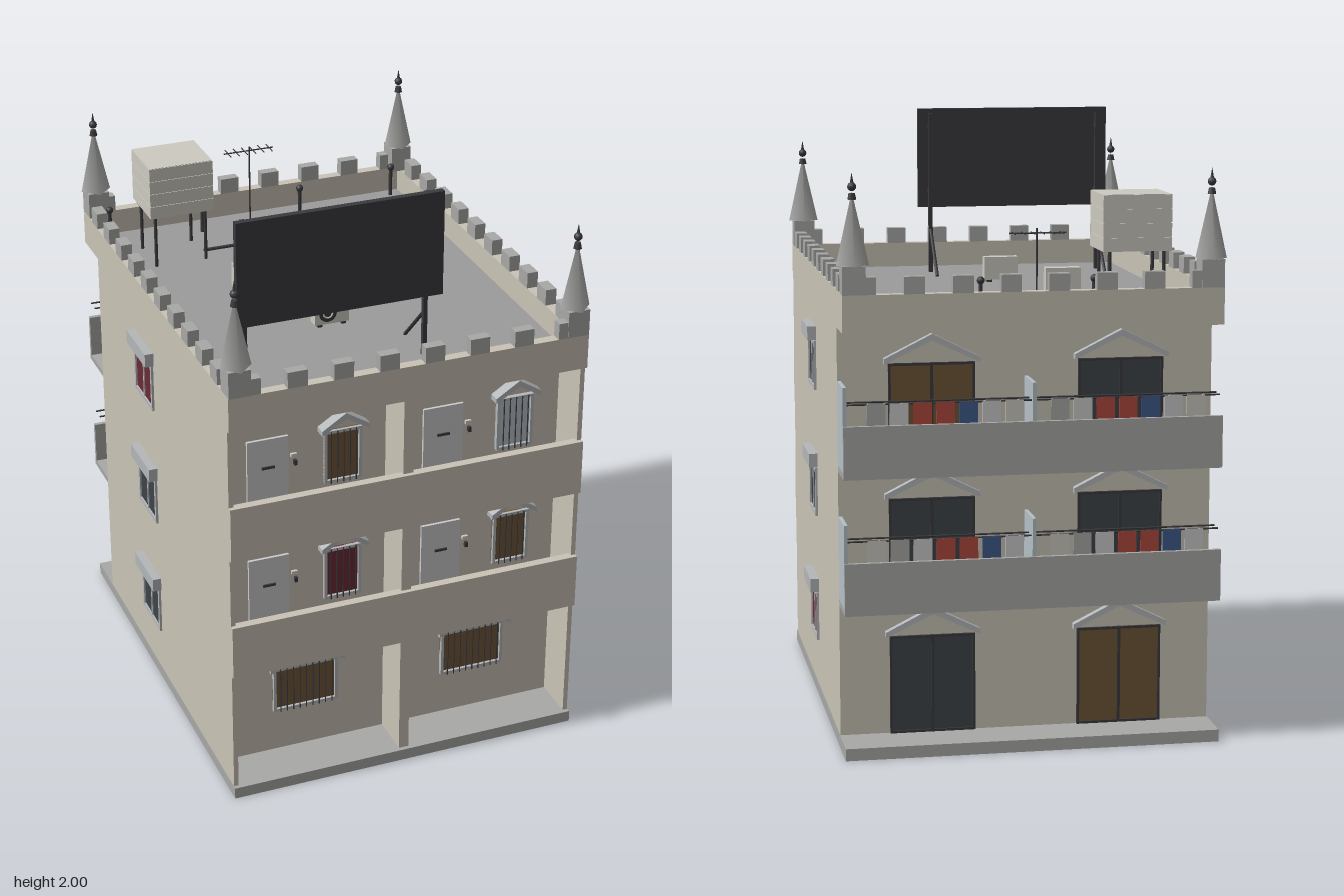
import * as THREE from 'three';

const mat = (color) => new THREE.MeshStandardMaterial({ color, side: THREE.DoubleSide });
const M = {
  wall: mat(0xcac4b6), stone: mat(0xa8a8a6), deck: mat(0x9c9c9c), trim: mat(0xb4b7b9),
  dark: mat(0x3a393d), glass: mat(0xb4c0c6), pane: mat(0x3d4348), red: mat(0x6b2a35),
  brown: mat(0x6e5638), pale: mat(0xcccccc), cream: mat(0xcdcac0), blue: mat(0x3f5a8c), cloth: mat(0xb0483f),
};

export function createModel() {
  const root = new THREE.Group();
  const add = (name, geo, m, parent = root) => {
    const mesh = new THREE.Mesh(geo, m);
    mesh.name = name;
    parent.add(mesh);
    return mesh;
  };
  // box given by its extents on each axis
  const box = (name, x0, x1, y0, y1, z0, z1, m, parent = root) => {
    const b = add(name, new THREE.BoxGeometry(x1 - x0, y1 - y0, z1 - z0), m, parent);
    b.position.set((x0 + x1) / 2, (y0 + y1) / 2, (z0 + z1) / 2);
    return b;
  };
  // round bar between two points
  const bar = (name, a, b, r, m, parent = root) => {
    const p = new THREE.Vector3(...a), q = new THREE.Vector3(...b);
    const c = add(name, new THREE.CylinderGeometry(r, r, p.distanceTo(q), 8), m, parent);
    c.position.copy(p).lerp(q, 0.5);
    c.quaternion.setFromUnitVectors(new THREE.Vector3(0, 1, 0), q.sub(p).normalize());
    return c;
  };
  const group = (name, x, y, z, turn = 0) => {
    const g = new THREE.Group();
    g.name = name;
    g.position.set(x, y, z);
    g.rotation.y = turn;
    root.add(g);
    return g;
  };

  // rectangular frame, facing +z of its group, origin at bottom centre
  const frame = (g, w, h, t, d, m) => {
    box('frameBottom', -w / 2, w / 2, 0, t, 0, d, m, g);
    box('frameTop', -w / 2, w / 2, h - t, h, 0, d, m, g);
    for (const s of [-1, 1]) box('frameSide', s * (w - t) / 2 - t / 2, s * (w - t) / 2 + t / 2, t, h - t, 0, d, m, g);
  };
  const gable = (g, w, y, h, d) => {
    const t = 0.022, k = w / 2;
    const s = new THREE.Shape([[-k, 0], [0, h - t], [k, 0], [k, t * 0.8], [0, h], [-k, t * 0.8]].map((p) => new THREE.Vector2(...p)));
    add('gableHood', new THREE.ExtrudeGeometry(s, { depth: d, bevelEnabled: false }), M.trim, g).position.y = y;
  };

  // base and main body
  box('base', -0.615, 0.615, 0, 0.04, -0.765, 0.765, M.stone);
  box('body', -0.6, 0.6, 0.04, 1.38, -0.61, 0.6, M.wall);
  for (const s of [-1, 1]) box('sideWall', s * 0.605 - 0.008, s * 0.605 + 0.008, 0.04, 1.38, -0.61, 0.75, M.wall);
  box('frontDivider', -0.02, 0.015, 0.04, 1.38, 0.6, 0.75, M.wall);

  // roof with parapet
  box('roofSlab', -0.613, 0.613, 1.38, 1.41, -0.765, 0.765, M.wall);
  box('roofDeck', -0.575, 0.575, 1.41, 1.413, -0.73, 0.73, M.deck);
  for (const s of [-1, 1]) {
    box('sideParapet', s * 0.594 - 0.019, s * 0.594 + 0.019, 1.41, 1.5, -0.765, 0.765, M.wall);
    box('endParapet', -0.575, 0.575, 1.41, 1.5, s * 0.7475 - 0.0175, s * 0.7475 + 0.0175, M.wall);
    for (let i = 0; i < 10; i++) {
      const z = (i - 4.5) * 0.14;
      box('merlon', s * 0.594 - 0.019, s * 0.594 + 0.019, 1.5, 1.555, z - 0.033, z + 0.033, M.stone);
    }
    for (let i = 0; i < 8; i++) {
      const x = (i - 3.5) * 0.154;
      box('merlon', x - 0.033, x + 0.033, 1.5, 1.555, s * 0.7475 - 0.0175, s * 0.7475 + 0.0175, M.stone);
    }
  }

  // corner spires
  for (const sx of [-1, 1]) for (const sz of [-1, 1]) {
    const g = group('spire', sx * 0.575, 1.5, sz * 0.73);
    box('spireBase', -0.037, 0.037, 0, 0.09, -0.037, 0.037, M.stone, g);
    add('spireRoof', new THREE.ConeGeometry(0.052, 0.23, 4), M.stone, g).position.y = 0.205;
    add('spireBall', new THREE.SphereGeometry(0.014, 10, 8), M.dark, g).position.y = 0.335;
    add('spireCollar', new THREE.CylinderGeometry(0.01, 0.014, 0.02, 8), M.dark, g).position.y = 0.305;
    add('spireTip', new THREE.ConeGeometry(0.007, 0.04, 8), M.dark, g).position.y = 0.36;
  }

  // barred front windows
  const barredWindow = (x, y, w, h, hood, m) => {
    const g = group('frontWindow', x, y, 0.6);
    box('pane', -w / 2, w / 2, 0, h, 0, 0.006, m, g);
    frame(g, w, h, 0.01, 0.016, M.trim);
    const n = Math.round(w / 0.023);
    for (let i = 1; i < n; i++) bar('windowBar', [-w / 2 + i * w / n, 0, 0.02], [-w / 2 + i * w / n, h, 0.02], 0.0022, M.dark, g);
    gable(g, w + 0.035, h, hood, 0.04);
  };
  for (const s of [-1, 1]) barredWindow(s * 0.305, 0.2, 0.23, 0.17, 0.095, M.brown);

  // upper floors: front gallery and back balcony
  const clothes = [M.pale, M.cloth, M.cream, M.blue, M.pale, M.cream, M.cloth, M.stone];
  [0.475, 0.915].forEach((y, f) => {
    box('galleryFloor', -0.613, 0.613, y, y + 0.02, 0.6, 0.765, M.wall);
    box('galleryFront', -0.613, 0.613, y, y + 0.193, 0.735, 0.765, M.wall);
    for (const x of [-0.43, 0.18]) {
      const g = group('frontDoor', x, y + 0.02, 0.6);
      box('doorLeaf', -0.07, 0.07, 0, 0.31, 0, 0.01, M.pale, g);
      box('mailSlot', -0.022, 0.022, 0.205, 0.213, 0.01, 0.016, M.dark, g);
      box('doorHandle', 0.09, 0.1, 0.198, 0.216, 0, 0.012, M.dark, g);
      box('doorBell', 0.08, 0.1, 0.228, 0.24, 0, 0.01, M.cream, g);
    }
    barredWindow(-0.173, y + 0.13, 0.13, 0.19, 0.07, f ? M.brown : M.red);
    barredWindow(0.436, y + 0.13, 0.13, 0.19, 0.07, f ? M.glass : M.brown);

    box('balconyFloor', -0.613, 0.613, y, y + 0.02, -0.765, -0.61, M.stone);
    box('balconyFront', -0.613, 0.613, y, y + 0.17, -0.765, -0.75, M.stone);
    for (const x of [0.607, 0]) box('balconyScreen', x - 0.006, x + 0.006, y + 0.02, y + 0.293, -0.755, -0.61, M.glass);
    for (const z of [-0.735, -0.69]) bar('clothesLine', [-0.61, y + 0.235, z], [0.6, y + 0.235, z], 0.003, M.dark);
    for (let i = 0; i < 15; i++) {
      const x = -0.53 + i * 0.074, drop = 0.1 + 0.035 * ((i * 5 + f) % 3);
      if (Math.abs(x) > 0.04) box('laundry', x - 0.03, x + 0.03, y + 0.235 - drop, y + 0.237, -0.738, -0.733, clothes[(i * 3 + f * 5) % 8]);
    }
  });

  // glazed back doors
  [0.04, 0.495, 0.935].forEach((y, f) => {
    for (const s of [-1, 1]) {
      const g = group('backDoor', s * 0.31, y, -0.61, Math.PI);
      const brown = (f === 0 && s < 0) || (f === 2 && s > 0);
      box('doorPane', -0.14, 0.14, 0, 0.325, 0, 0.004, brown ? M.brown : M.pane, g);
      frame(g, 0.28, 0.325, 0.008, 0.01, M.dark);
      box('doorMullion', -0.005, 0.005, 0, 0.325, 0, 0.01, M.dark, g);
      gable(g, 0.31, 0.325, 0.095, 0.025);
    }
  });

  // side windows with straight hoods
  for (const s of [-1, 1]) [0.2, 0.64, 1.08].forEach((y, f) => {
    const g = group('sideWindow', s * 0.612, y, s * 0.093, s * Math.PI / 2);
    const red = s > 0 ? f === 0 : f === 2;
    box('pane', -0.09, 0.09, 0, 0.17, 0, 0.003, red ? M.red : M.pane, g);
    frame(g, 0.19, 0.17, 0.013, 0.009, M.trim);
    box('mullion', -0.004, 0.004, 0, 0.17, 0, 0.007, M.trim, g);
    box('windowHood', -0.102, 0.102, 0.173, 0.22, 0, 0.031, M.trim, g);
  });

  // billboard on braced posts
  box('billboard', -0.52, 0.173, 1.645, 2, 0.573, 0.595, M.dark);
  for (const x of [-0.48, 0.133]) {
    box('billboardPost', x - 0.007, x + 0.007, 1.41, 1.985, 0.537, 0.553, M.dark);
    bar('billboardBrace', [x, 1.415, 0.39], [x, 1.57, 0.545], 0.006, M.dark);
    for (const y of [1.7, 1.93]) box('billboardBracket', x - 0.006, x + 0.006, y, y + 0.012, 0.55, 0.575, M.dark);
  }

  // water tank
  for (let i = 0; i < 4; i++) box('tankBand', -0.482, -0.255, 1.6 + i * 0.0463, 1.644 + i * 0.0463, -0.59, -0.39, M.cream);
  box('tankCore', -0.479, -0.258, 1.602, 1.784, -0.587, -0.393, M.cream);
  for (const x of [-0.46, -0.28]) for (const z of [-0.57, -0.41]) bar('tankLeg', [x, 1.41, z], [x, 1.6, z], 0.006, M.dark);
  bar('tankPipe', [-0.28, 1.435, -0.432], [-0.125, 1.435, -0.432], 0.006, M.dark);

  // air conditioners
  for (const [x, z] of [[-0.213, -0.142], [-0.065, 0.22]]) {
    const g = group('airConditioner', x, 1.413, z);
    box('unitCase', -0.06, 0.06, 0.008, 0.088, -0.021, 0.021, M.cream, g);
    for (const s of [-1, 1]) box('unitFoot', s * 0.042 - 0.008, s * 0.042 + 0.008, 0, 0.008, -0.021, 0.021, M.dark, g);
    const fan = add('unitFan', new THREE.CylinderGeometry(0.031, 0.031, 0.004, 20), M.dark, g);
    fan.rotation.x = Math.PI / 2;
    fan.position.set(-0.015, 0.048, 0.022);
    add('fanRing', new THREE.TorusGeometry(0.016, 0.003, 6, 16), M.cream, g).position.set(-0.015, 0.048, 0.024);
  }

  // vent pipes
  for (const [x, z] of [[-0.217, -0.63], [0.153, -0.63], [-0.54, -0.69], [0.532, -0.69]]) {
    bar('ventPipe', [x, 1.41, z], [x, 1.52, z], 0.007, M.dark);
    add('ventCap', new THREE.SphereGeometry(0.013, 10, 8), M.dark).position.set(x, 1.522, z);
  }

  // aerial
  bar('aerialMast', [-0.02, 1.41, -0.677], [-0.02, 1.69, -0.677], 0.003, M.dark);
  bar('aerialBoom', [-0.115, 1.675, -0.677], [0.07, 1.675, -0.677], 0.0025, M.dark);
  for (let i = 0; i < 6; i++) {
    const x = -0.1 + i * 0.031;
    bar('aerialRod', [x, 1.675, -0.71], [x, 1.675, -0.644], 0.002, M.dark);
  }
  return root;
}
